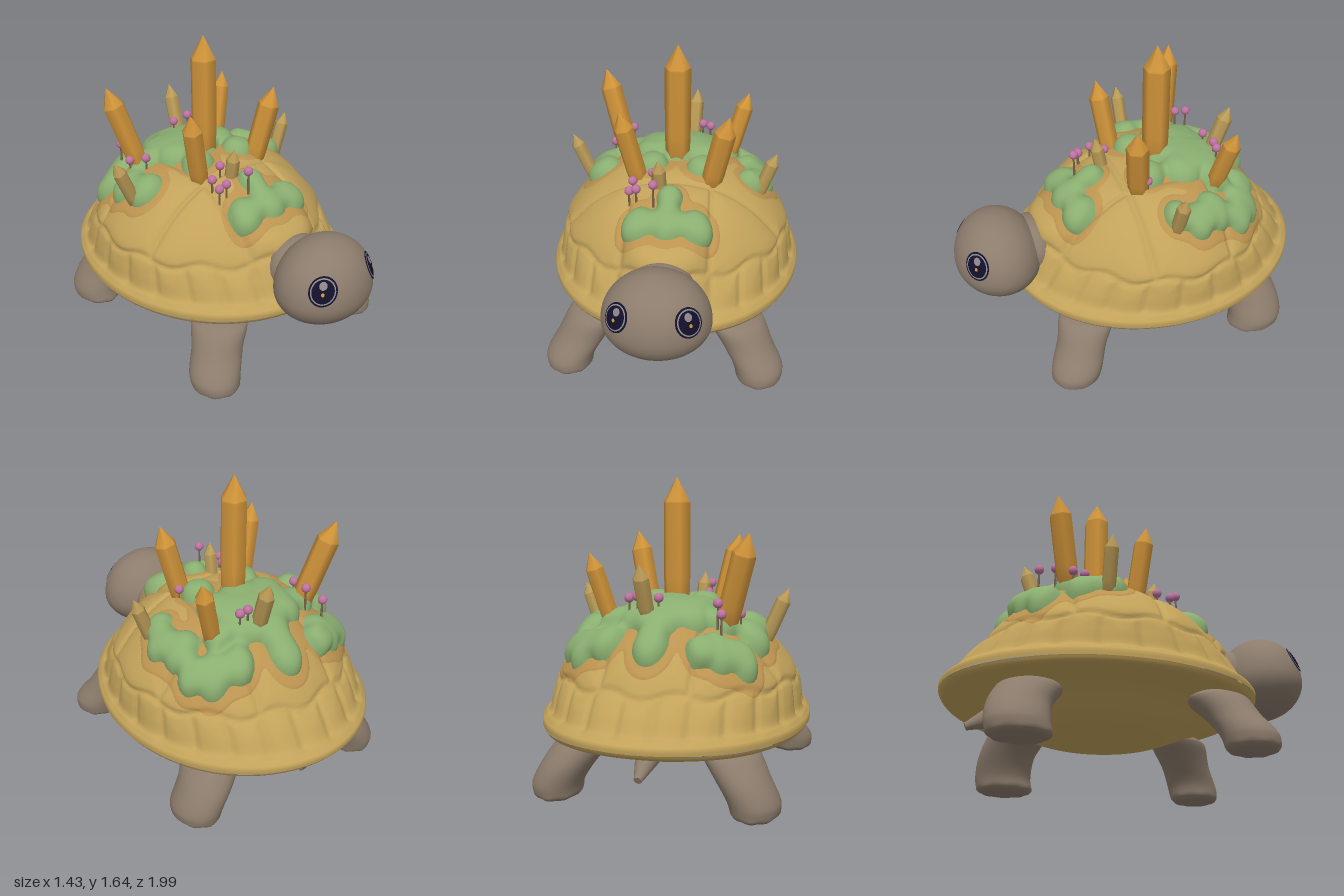
import * as THREE from 'three';

const V = (x, y, z) => new THREE.Vector3(x, y, z);
const mat = (name, color) => {
  const m = new THREE.MeshStandardMaterial({ color });
  m.name = name;
  return m;
};
const TAU = Math.PI * 2;

// Closed-ring surface: fn(u, angle) -> point, rows run outward or downward
function ringSurface(rows, cols, fn) {
  const pos = [], idx = [];
  for (let i = 0; i <= rows; i++)
    for (let j = 0; j < cols; j++) pos.push(...fn(i / rows, (j / cols) * TAU).toArray());
  for (let i = 0; i < rows; i++)
    for (let j = 0; j < cols; j++) {
      const k = (j + 1) % cols, a = i * cols + j, b = a + cols, c = i * cols + k, d = c + cols;
      idx.push(a, b, c, c, b, d);
    }
  const g = new THREE.BufferGeometry();
  g.setAttribute('position', new THREE.Float32BufferAttribute(pos, 3));
  g.setIndex(idx);
  g.computeVertexNormals();
  return g;
}

// Shell profile: half width, height, half length, from crown to rim
const ZC = -0.15;
const profile = new THREE.CatmullRomCurve3([
  V(0.001, 0.965, 0.001), V(0.18, 0.955, 0.2), V(0.32, 0.915, 0.34), V(0.42, 0.86, 0.43),
  V(0.51, 0.785, 0.52), V(0.585, 0.7, 0.59), V(0.64, 0.62, 0.65), V(0.66, 0.52, 0.73),
  V(0.675, 0.43, 0.79), V(0.715, 0.395, 0.845), V(0.715, 0.36, 0.845)
]);
profile.arcLengthDivisions = 600;
const SEAM = 0.755; // where the border plates begin

function base(u, a) {
  const p = profile.getPointAt(Math.min(1, Math.max(0, u)));
  const x = p.x * Math.sin(a), z = ZC + p.z * Math.cos(a);
  // raised collar over the neck
  const collar = z < 0 ? 0 : Math.exp(-((x / 0.22) ** 4) - ((u - 0.69) / 0.12) ** 2);
  return V(x, p.y + 0.03 * Math.cos(a) ** 2 * u ** 4 + 0.04 * collar, z + 0.075 * collar);
}
function normalAt(u, a) {
  u = Math.min(0.985, Math.max(0.015, u));
  const du = base(u + 0.01, a).sub(base(u - 0.01, a));
  const da = base(u, a + 0.01).sub(base(u, a - 0.01));
  return du.cross(da).normalize();
}

// Centres of the large plates; seams lie midway between neighbours
const plates = [[0, 0.33], [0, -0.17], [0, -0.62]];
for (const s of [-1, 1]) plates.push([s * 0.46, 0.3], [s * 0.46, -0.15], [s * 0.44, -0.59]);

function seamDistance(u, a, p) {
  const edge = u - SEAM - 0.016 * Math.cos(12 * a);
  let d = Math.abs(edge) * 1.1;
  if (edge > 0) {
    const f = (a / TAU) * 24;
    d = Math.min(d, Math.abs(f - Math.floor(f) - 0.5) * (TAU / 24) * 0.74);
    if (u > 0.91) d += (u - 0.91) * 1.5;
  } else {
    const s = plates.map(([x, z]) => [(p.x - x) ** 2 + (p.z - z) ** 2, x, z]).sort((m, n) => m[0] - n[0]);
    d = Math.min(d, (s[1][0] - s[0][0]) / (2 * Math.hypot(s[1][1] - s[0][1], s[1][2] - s[0][2])));
  }
  return d;
}
function shellPoint(u, a, lift = 0) {
  const p = base(u, a), d = seamDistance(u, a, p);
  const fade = u > 0.95 ? 0 : 1;
  const h = fade * (0.009 * (1 - Math.exp(-((d / 0.06) ** 2))) - 0.015 * Math.exp(-((d / 0.013) ** 2)));
  return p.addScaledVector(normalAt(u, a), h + lift);
}

// Moss clumps in plan: x, z, radius
const clumps = [
  [-0.15, 0.33, 0.1], [0, 0.33, 0.11], [0.15, 0.33, 0.1], [0, 0.2, 0.08],
  [-0.14, -0.4, 0.12], [0.12, -0.42, 0.13], [-0.15, -0.26, 0.12], [0.15, -0.27, 0.13], [0, -0.33, 0.13],
  [0, -0.2, 0.1], [0, -0.5, 0.12], [0, -0.63, 0.1], [-0.13, -0.08, 0.1], [0.15, -0.07, 0.1],
  [0.24, -0.57, 0.09], [0.36, -0.53, 0.1], [0.44, -0.46, 0.08], [0.26, -0.42, 0.08], [0.42, -0.33, 0.1],
  [0.46, -0.22, 0.09], [0.42, -0.12, 0.08], [-0.42, -0.5, 0.09], [-0.31, -0.55, 0.1], [-0.23, -0.6, 0.07],
  [-0.29, -0.36, 0.09], [-0.43, -0.31, 0.1], [-0.42, -0.17, 0.1]
];
const mossField = (p, grow) => clumps.reduce((sum, [x, z, r]) => {
  const q = 1 - ((p.x - x) ** 2 + (p.z - z) ** 2) / (r * grow) ** 2;
  return sum + (q > 0 ? q * q : 0);
}, -0.15);

// Head surface along a unit direction
const headPoint = (d, k = 1) =>
  V(0.28 * d.x * k, 0.55 + (d.y > 0 ? 0.265 : 0.19) * d.y * k, 0.76 + 0.235 * d.z * k);

// Curved disc or ring lying on the head around an eye centre
function eyePatch(side, r0, r1, ox, oy, k) {
  const e = V(side * 0.64, 0.4, 0.655).normalize();
  const U = V(0, 1, 0).cross(e).normalize(), W = e.clone().cross(U);
  return ringSurface(4, 32, (u, a) => {
    const r = 0.29 * (r0 + (r1 - r0) * u);
    const d = e.clone().addScaledVector(U, 0.29 * ox + r * Math.cos(a))
      .addScaledVector(W, 0.29 * oy + r * Math.sin(a) * 1.05).normalize();
    return headPoint(d, k);
  });
}

// Leg lofted through [x, y, z, radiusX, radiusZ] sections, with scalloped toes
function legGeometry(side, sections) {
  const mid = new THREE.CatmullRomCurve3(sections.map(s => V(side * s[0], s[1], s[2])));
  const rad = new THREE.CatmullRomCurve3(sections.map(s => V(s[3], 0, s[4])));
  return ringSurface(24, 40, (u, a) => {
    const c = mid.getPoint(u), r = rad.getPoint(u);
    const toe = 1 + 0.05 * Math.cos(8 * a) * THREE.MathUtils.smoothstep(u, 0.6, 0.85);
    return V(c.x + r.x * toe * Math.sin(a), Math.max(0, c.y), c.z + r.z * toe * Math.cos(a));
  });
}

export function createModel() {
  const model = new THREE.Group();
  model.name = 'crystalTortoise';
  const M = {
    shell: mat('shell ochre', 0xc2a25a), stain: mat('earth stain', 0xbc9350), moss: mat('moss green', 0x8aae70),
    skin: mat('skin taupe', 0x8c7c6c), amber: mat('amber crystal', 0xd2953a), sand: mat('sand crystal', 0xbd9d58),
    pink: mat('mushroom pink', 0xbd72a0), stem: mat('stem brown', 0x75634a),
    dark: mat('eye navy', 0x12102a), grey: mat('eye grey', 0x8d858a)
  };
  const add = (name, geo, m, parent = model) => {
    const mesh = new THREE.Mesh(geo, m);
    mesh.name = name;
    parent.add(mesh);
    return mesh;
  };

  // Shell with its overgrowth
  add('shell', ringSurface(90, 264, (u, a) => shellPoint(u, a)), M.shell);
  add('earthStain', ringSurface(70, 264, (t, a) => {
    const u = t * 70 / 90, f = mossField(base(u, a), 1.65);
    return shellPoint(u, a, THREE.MathUtils.clamp(f * 0.1, -0.01, 0.004));
  }), M.stain);
  add('moss', ringSurface(80, 200, (t, a) => {
    const u = t * 0.8, p = base(u, a), f = mossField(p, 1.14);
    const lift = f < 0 ? 0.012 + f * 0.28 : 0.012 + 0.065 * (1 - Math.exp(-2.6 * f));
    return p.addScaledVector(normalAt(u, a), lift);
  }), M.moss);

  // Underside
  const belly = new THREE.LatheGeometry(
    new THREE.SplineCurve([[0, 0.165], [0.2, 0.168], [0.38, 0.182], [0.52, 0.22], [0.7, 0.285], [0.88, 0.322], [0.97, 0.335], [1, 0.362]]
      .map(([r, y]) => new THREE.Vector2(r, y))).getPoints(40), 80);
  belly.scale(0.715, 1, 0.845);
  const bp = belly.attributes.position;
  for (let i = 0; i < bp.count; i++) bp.setY(i, bp.getY(i) + 0.03 * (bp.getZ(i) / 0.845) ** 4);
  add('belly', belly, M.shell).position.z = ZC;

  // Head, neck and tail
  add('head', ringSurface(40, 64, (u, a) => {
    const t = u * Math.PI;
    return headPoint(V(Math.sin(t) * Math.sin(a), Math.cos(t), Math.sin(t) * Math.cos(a)));
  }), M.skin);
  const neck = add('neck', new THREE.SphereGeometry(1, 32, 20), M.skin);
  neck.position.set(0, 0.575, 0.56);
  neck.scale.set(0.18, 0.155, 0.12);
  const tail = add('tail', new THREE.CylinderGeometry(0.02, 0.065, 0.17, 20), M.skin);
  tail.position.set(0, 0.245, -0.765);
  tail.quaternion.setFromUnitVectors(V(0, 1, 0), V(0, -0.42, -0.9).normalize());

  // Eyes
  for (const s of [-1, 1]) {
    const eye = new THREE.Group();
    eye.name = s > 0 ? 'leftEye' : 'rightEye';
    model.add(eye);
    add('eyeball', eyePatch(s, 0, 1, 0, 0, 1.012), M.dark, eye);
    add('eyeRing', eyePatch(s, 0.77, 0.87, 0, 0, 1.018), M.grey, eye);
    add('eyeHighlight', eyePatch(s, 0, 0.27, 0, 0.38, 1.02), M.grey, eye);
    add('eyeGlint', eyePatch(s, 0, 0.12, 0, -0.2, 1.02), M.amber, eye);
  }

  // Legs
  for (const s of [-1, 1]) {
    const side = s > 0 ? 'Left' : 'Right';
    add('front' + side + 'Leg', legGeometry(s, [
      [0.36, 0.335, 0.36, 0.1, 0.1], [0.39, 0.29, 0.39, 0.15, 0.155], [0.46, 0.18, 0.45, 0.137, 0.135],
      [0.52, 0.08, 0.5, 0.133, 0.14], [0.525, 0.025, 0.51, 0.125, 0.135], [0.525, 0, 0.51, 0.095, 0.105], [0.525, 0, 0.51, 0, 0]
    ]), M.skin);
    add('back' + side + 'Leg', legGeometry(s, [
      [0.36, 0.335, -0.53, 0.1, 0.11], [0.39, 0.29, -0.55, 0.15, 0.165], [0.46, 0.19, -0.6, 0.14, 0.155],
      [0.52, 0.08, -0.61, 0.133, 0.155], [0.525, 0.025, -0.6, 0.125, 0.155], [0.525, 0, -0.6, 0.095, 0.125], [0.525, 0, -0.6, 0, 0]
    ]), M.skin);
  }

  // Crystals: base, tip, radius
  const crystal = (name, b, t, r, m) => {
    const from = V(...b), dir = V(...t).sub(from), h = dir.length();
    const pts = [[0, 0], [r * 0.88, 0], [r, h * 0.3], [r, h - r * 1.85], [r * 0.96, h - r * 1.75], [0, h]];
    const mesh = add(name, new THREE.LatheGeometry(pts.map(p => new THREE.Vector2(...p)), 6, Math.PI / 6), m);
    mesh.position.copy(from);
    mesh.quaternion.setFromUnitVectors(V(0, 1, 0), dir.normalize());
  };
  [
    [[0, 0.88, -0.18], [0, 1.64, -0.18], 0.073], [[-0.3, 0.84, -0.36], [-0.45, 1.375, -0.46], 0.062],
    [[-0.18, 0.84, 0.0], [-0.29, 1.335, 0.055], 0.056], [[0.19, 0.84, 0.0], [0.3, 1.34, 0.06], 0.06],
    [[0.27, 0.84, -0.4], [0.385, 1.26, -0.465], 0.05]
  ].forEach(c => crystal('amberCrystal', ...c, M.amber));
  [
    [[-0.47, 0.76, -0.19], [-0.605, 1.075, -0.19], 0.039], [[0.45, 0.75, -0.1], [0.56, 1.06, -0.1], 0.038],
    [[0.06, 0.9, -0.48], [0.075, 1.22, -0.59], 0.043], [[-0.06, 0.83, 0.1], [-0.07, 1.11, 0.15], 0.038]
  ].forEach(c => crystal('sandCrystal', ...c, M.sand));

  // Mushrooms: cap centre
  [
    [-0.33, 0.98, -0.53], [-0.29, 1.02, -0.44], [-0.39, 0.96, -0.36], [-0.33, 0.98, -0.29], [-0.21, 0.97, 0.13],
    [-0.22, 0.945, 0.2], [-0.18, 0.965, 0.21], [-0.08, 1.03, 0.27], [-0.11, 1.0, 0.08], [0.01, 1.04, -0.47],
    [0.12, 1.045, -0.48], [0.165, 1.035, -0.475], [0.245, 0.99, -0.03]
  ].forEach(([x, y, z]) => {
    add('mushroomCap', new THREE.SphereGeometry(0.025, 16, 12), M.pink).position.set(x, y, z);
    add('mushroomStem', new THREE.CylinderGeometry(0.005, 0.007, 0.13, 8), M.stem).position.set(x, y - 0.07, z);
  });
  return model;
}
